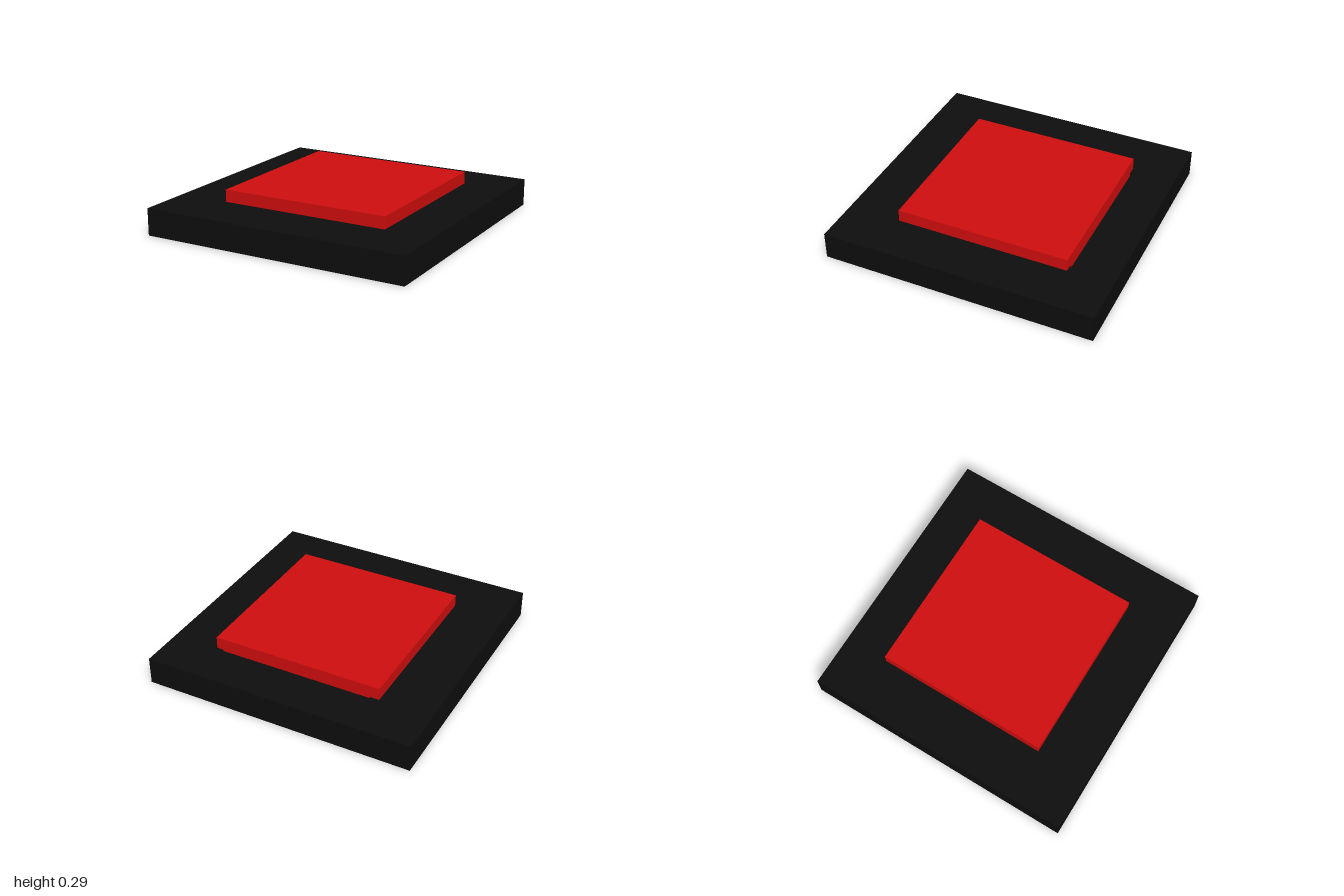
import * as THREE from 'three';

// Rectangle corners from x and z limits
function rectPoints(x0, x1, z0, z1) {
  return [[x0, z0], [x1, z0], [x1, z1], [x0, z1]].map(([x, z]) => new THREE.Vector2(x, z));
}

export function createModel() {
  const model = new THREE.Group();

  // Square base slab with a rectangular opening right through it
  const outline = new THREE.Shape(rectPoints(-1, 1, -1, 1));
  outline.holes.push(new THREE.Path(rectPoints(-0.55, 0.602, -0.68, 0.596)));
  const baseGeometry = new THREE.ExtrudeGeometry(outline, { depth: 0.2, bevelEnabled: false });
  baseGeometry.rotateX(Math.PI / 2).translate(0, 0.2, 0);
  const base = new THREE.Mesh(baseGeometry, new THREE.MeshStandardMaterial({ color: 0x0d0d0d }));
  base.name = 'base';
  model.add(base);

  // Red button, sunk halfway into the base
  const [x0, x1, y0, y1, z0, z1] = [-0.615, 0.652, 0.1, 0.29, -0.668, 0.604];
  const button = new THREE.Mesh(
    new THREE.BoxGeometry(x1 - x0, y1 - y0, z1 - z0),
    new THREE.MeshStandardMaterial({ color: 0xcc0d0d })
  );
  button.position.set((x0 + x1) / 2, (y0 + y1) / 2, (z0 + z1) / 2);
  button.name = 'button';
  model.add(button);

  return model;
}
